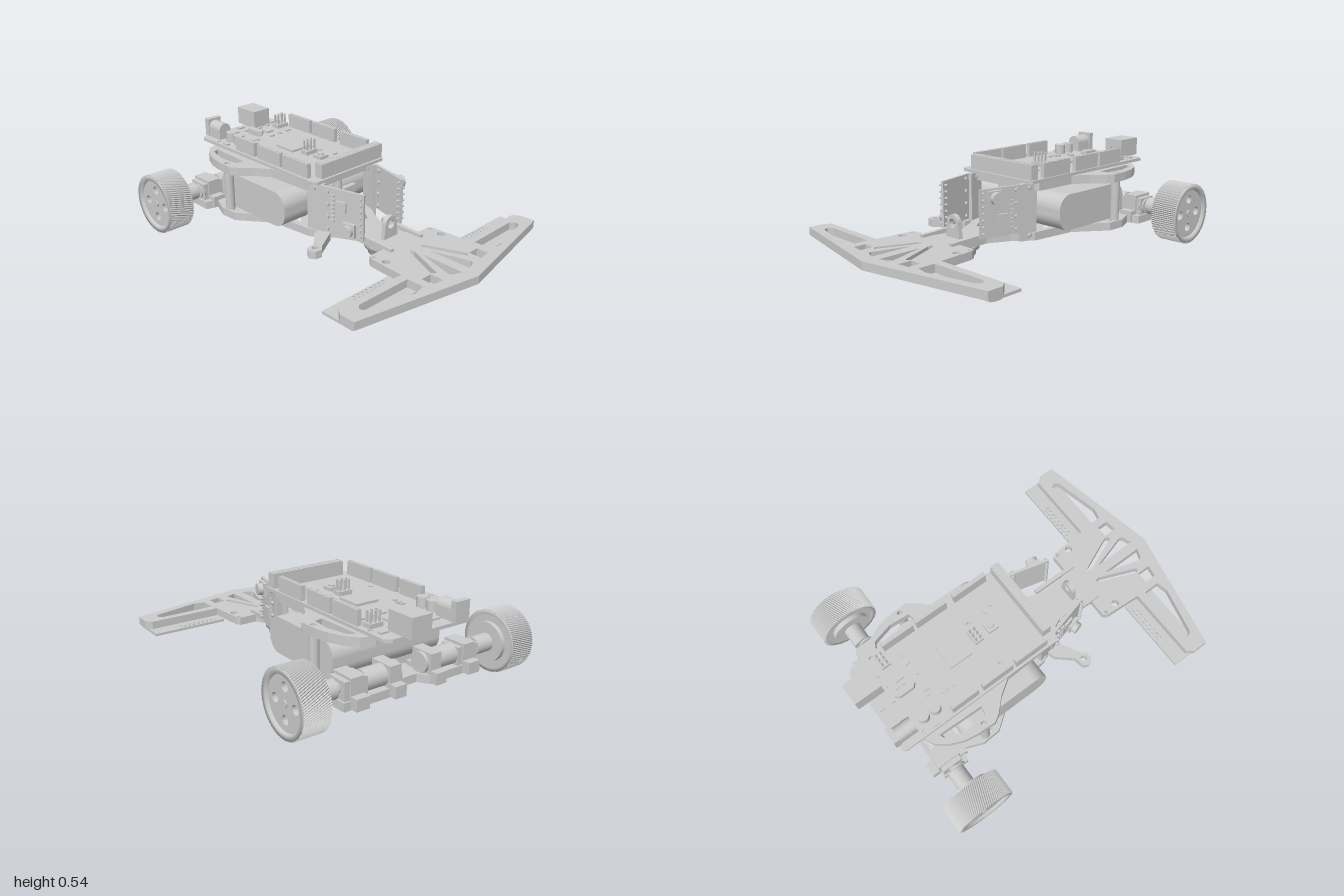
import * as THREE from 'three';

const mat = new THREE.MeshStandardMaterial({ color: 0xcccccc, side: THREE.DoubleSide });

function add(parent, name, geo, x = 0, y = 0, z = 0) {
  const m = new THREE.Mesh(geo, mat);
  m.name = name;
  m.position.set(x, y, z);
  parent.add(m);
  return m;
}
// Box from its min and max limits
const box = (p, name, x0, x1, y0, y1, z0, z1) =>
  add(p, name, new THREE.BoxGeometry(x1 - x0, y1 - y0, z1 - z0), (x0 + x1) / 2, (y0 + y1) / 2, (z0 + z1) / 2);
const post = (p, name, r, x, y0, y1, z, n = 24, r2 = r) =>
  add(p, name, new THREE.CylinderGeometry(r, r2, y1 - y0, n), x, (y0 + y1) / 2, z);
// Cylinder lying along x
function axle(p, name, r, x0, x1, y, z, n = 32) {
  const g = new THREE.CylinderGeometry(r, r, x1 - x0, n).rotateZ(Math.PI / 2);
  return add(p, name, g, (x0 + x1) / 2, y, z);
}
const flip = pts => pts.map(([x, z]) => [-x, z]).reverse();
const both = list => [...list, ...list.map(flip)];
const circle = (x, z, r) => new THREE.Path().absarc(x, -z, r, 0, Math.PI * 2, true);
// Horizontal plate from [x, z] points, with polygonal and round holes
function plate(p, name, pts, holes, rounds, y0, y1) {
  const v = a => a.map(([x, z]) => new THREE.Vector2(x, -z));
  const s = new THREE.Shape(v(pts));
  holes.forEach(h => s.holes.push(new THREE.Path(v(h))));
  rounds.forEach(([x, z, r]) => s.holes.push(circle(x, z, r)));
  const g = new THREE.ExtrudeGeometry(s, { depth: y1 - y0, bevelEnabled: false, curveSegments: 12 });
  return add(p, name, g.rotateX(-Math.PI / 2), 0, y0, 0);
}

// Chassis floor: arrow-shaped nose, neck and trussed rear
function chassis(root) {
  const half = [[0, 1], [0.74, 0.85], [0.74, 0.76], [0.71, 0.72], [0.27, 0.72], [0.255, 0.5], [0.24, 0.475], [0.13, 0.475],
    [0.1, 0.42], [0.1, 0.25], [0.16, 0.13], [0.25, 0.02], [0.28, -0.25], [0.42, -0.44], [0.425, -0.55], [0.38, -0.66],
    [0.45, -0.68], [0.45, -0.84], [0.1, -0.84], [0.06, -0.78]];
  const holes = both([
    [[0.28, 0.77], [0.62, 0.765], [0.645, 0.79], [0.63, 0.82], [0.35, 0.885], [0.28, 0.87]],
    [[0.04, 0.58], [0.06, 0.6], [0.15, 0.81], [0.14, 0.83], [0.125, 0.83], [0.035, 0.61]],
    [[0.03, 0.66], [0.095, 0.88], [0.085, 0.9], [0.03, 0.92]],
    [[0.16, 0.82], [0.23, 0.82], [0.23, 0.89], [0.16, 0.9]],
    [[0.03, 0.12], [0.08, 0.16], [0.19, 0.0], [0.03, -0.03]],
    [[0.03, -0.08], [0.2, -0.05], [0.03, -0.24]],
    [[0.22, -0.08], [0.24, -0.26], [0.07, -0.25]],
    [[0.03, -0.31], [0.2, -0.31], [0.03, -0.5]],
    [[0.25, -0.33], [0.34, -0.43], [0.34, -0.52], [0.08, -0.5]],
    [[0.06, -0.56], [0.33, -0.58], [0.3, -0.65], [0.08, -0.64]]]);
  const rounds = [];
  for (const s of [-1, 1]) rounds.push([s * 0.225, 0.58, 0.022], [s * 0.235, 0.5, 0.01], [s * 0.39, -0.48, 0.012]);
  plate(root, 'chassisFloor', [...half, ...flip(half.slice(1))], holes, rounds, 0.078, 0.125);
  // One-sided mounting arm
  plate(root, 'sideArm', [[-0.2, 0.06], [-0.27, 0.08], [-0.35, 0.17], [-0.41, 0.18], [-0.43, 0.21], [-0.41, 0.245],
    [-0.37, 0.25], [-0.34, 0.22], [-0.2, 0.14]], [], [[-0.38, 0.21, 0.018]], 0.08, 0.125);
  for (const s of [-1, 1]) {
    const rail = box(root, 'neckRail', s * 0.12 - 0.012, s * 0.12 + 0.012, 0.115, 0.145, 0.24, 0.53);
    rail.rotation.x = 0.03;
    // Line sensor strip under the nose
    const a = s > 0 ? 0.27 : -0.73, rounds2 = [];
    for (let i = 0; i < 8; i++) for (const z of [0.645, 0.67]) rounds2.push([s * (0.32 + i * 0.03 + (z > 0.65 ? 0.015 : 0)), z, 0.008]);
    plate(root, 'sensorStrip', [[a, 0.63], [a, 0.83], [a + 0.46, 0.83], [a + 0.46, 0.63]], [], rounds2, 0.064, 0.079);
    for (let i = 0; i < 6; i++) {
      const x = s * (0.31 + i * 0.075);
      box(root, 'lineSensor', x - 0.018, x + 0.018, 0.045, 0.066, 0.73, 0.78);
      box(root, 'sensorPart', x + 0.012, x + 0.028, 0.055, 0.066, 0.66, 0.7);
    }
  }
  // Upright eye tab on the neck
  const t = new THREE.Shape();
  t.moveTo(-0.055, 0).lineTo(0.055, 0).lineTo(0.045, 0.08);
  t.absarc(0, 0.085, 0.045, 0, Math.PI).lineTo(-0.055, 0);
  t.holes.push(new THREE.Path().absarc(0, 0.08, 0.026, 0, Math.PI * 2, true));
  add(root, 'eyeTab', new THREE.ExtrudeGeometry(t, { depth: 0.026, bevelEnabled: false }), 0, 0.124, 0.385);
  // Ball caster
  const profile = [[0.11, 0.08], [0.11, 0.06], [0.092, 0.058], [0.088, 0.022], [0.075, 0.017], [0.055, 0.017], [0.055, 0.05]];
  add(root, 'casterHousing', new THREE.LatheGeometry(profile.map(q => new THREE.Vector2(...q)), 32), 0, 0, 0.36);
  add(root, 'casterBall', new THREE.SphereGeometry(0.045, 24, 16), 0, 0.055, 0.36);
}

// Upper deck, posts and battery
function deck(root) {
  const half = [[0, 0.04], [0.2, 0.04], [0.26, 0], [0.27, -0.26], [0.33, -0.35], [0.4, -0.42], [0.425, -0.46], [0.42, -0.57],
    [0.405, -0.65], [0.37, -0.73], [0.32, -0.79], [0.25, -0.82], [0, -0.83]];
  plate(root, 'upperDeck', [...half, ...flip(half.slice(1, -1))],
    both([[[0.31, -0.47], [0.36, -0.48], [0.37, -0.6], [0.34, -0.72], [0.3, -0.74]]]),
    [[0.395, -0.515, 0.016], [-0.395, -0.515, 0.016]], 0.36, 0.41);
  for (const s of [-1, 1]) {
    post(root, 'deckPost', 0.027, s * 0.39, 0.12, 0.365, -0.515);
    post(root, 'boardSpacer', 0.02, s * 0.24, 0.405, 0.425, -0.78);
  }
  post(root, 'frontPost', 0.026, -0.015, 0.12, 0.365, 0.01);
  // Pack with rounded section, lying across the car
  const s = new THREE.Shape(), r = 0.085, w = 0.285, h = 0.104;
  s.absarc(w - r, h - r, r, 0, Math.PI / 2).absarc(-w + r, h - r, r, Math.PI / 2, Math.PI);
  s.absarc(-w + r, -h + r, r, Math.PI, Math.PI * 1.5).absarc(w - r, -h + r, r, Math.PI * 1.5, Math.PI * 2);
  const g = new THREE.ExtrudeGeometry(s, { depth: 0.72, bevelEnabled: false }).translate(0, 0, -0.36).rotateY(Math.PI / 2);
  add(root, 'battery', g, 0, 0.23, -0.345);
  box(root, 'batteryPlug', 0.08, 0.18, 0.21, 0.255, -0.07, -0.03);
}

// Wheel, hub, motor and clamps; built on +x
function drive() {
  const g = new THREE.Group(), Y = 0.178, Z = -0.77;
  const tread = new THREE.CylinderGeometry(0.176, 0.176, 0.155, 180, 8, true);
  const p = tread.attributes.position, cols = 181;
  for (let i = 0; i < p.count; i++) {
    const a = (i % cols) / 180 * Math.PI * 2 + p.getY(i) * 2.2;
    const rad = (i % cols) % 2 ? 0.177 : 0.170;
    p.setXYZ(i, Math.cos(a) * rad, p.getY(i), Math.sin(a) * rad);
  }
  // Swapping the angle sense needs the faces turned as well
  tread.index.array.reverse();
  tread.rotateZ(Math.PI / 2);
  const t2 = tread.toNonIndexed();
  t2.computeVertexNormals();
  add(g, 'tread', t2, 0.672, Y, Z);
  const rim = [[0.15, 0.6], [0.172, 0.595], [0.172, 0.749], [0.145, 0.749], [0.14, 0.73], [0.135, 0.73]];
  const rg = new THREE.LatheGeometry(rim.map(([a, b]) => new THREE.Vector2(a, -b)), 64).rotateZ(Math.PI / 2);
  add(g, 'rim', rg, 0, Y, Z);
  const d = new THREE.Shape().absarc(0, 0, 0.15, 0, Math.PI * 2);
  for (let i = 0; i < 4; i++) {
    const a = i * Math.PI / 2;
    d.holes.push(new THREE.Path().absarc(Math.cos(a) * 0.083, Math.sin(a) * 0.083, 0.025, 0, Math.PI * 2, true));
  }
  const dg = new THREE.ExtrudeGeometry(d, { depth: 0.13, bevelEnabled: false, curveSegments: 32 }).rotateY(Math.PI / 2);
  add(g, 'wheelDisc', dg, 0.602, Y, Z);
  axle(g, 'hubFlange', 0.112, 0.575, 0.603, Y, Z);
  axle(g, 'hub', 0.051, 0.465, 0.58, Y, Z);
  axle(g, 'axleEnd', 0.02, 0.4, 0.74, Y, Z, 16);
  box(g, 'gearbox', 0.3, 0.44, 0.125, 0.225, -0.83, -0.71);
  axle(g, 'motorCan', 0.058, 0.08, 0.3, Y, Z);
  for (const [x0, x1] of [[0.1, 0.17], [0.33, 0.41]]) {
    box(g, 'motorClamp', x0, x1, 0.1, 0.24, -0.84, -0.7);
    for (const z of [-0.86, -0.68]) box(g, 'clampFoot', x0, x1, 0.085, 0.15, z - 0.025, z + 0.025);
  }
  for (let i = 0; i < 4; i++) axle(g, 'gear', 0.03 + (i % 2) * 0.015, 0.415 + i * 0.012, 0.424 + i * 0.012, Y, Z + 0.02 * (i % 2), 20);
  return g;
}

// Controller board with headers, ports and small components
function controller() {
  const g = new THREE.Group(), T = 0.431;
  g.name = 'controller';
  plate(g, 'board', [[-0.27, 0.08], [-0.25, 0.095], [0.27, 0.095], [0.285, 0.08], [0.285, -0.91], [0.25, -0.94], [-0.25, -0.94], [-0.27, -0.92]],
    [], [[-0.245, -0.79, 0.014], [0.26, -0.79, 0.014], [-0.19, -0.25, 0.014], [0.1, -0.25, 0.014]], 0.413, T);
  function header(x0, x1, z0, z1) {
    box(g, 'header', x0, x1, T, 0.515, z0, z1);
    const nx = Math.max(1, Math.round((x1 - x0) / 0.027)), nz = Math.max(1, Math.round((z1 - z0) / 0.027));
    for (let i = 0; i < nx; i++) for (let j = 0; j < nz; j++)
      add(g, 'socket', new THREE.BoxGeometry(0.012, 0.002, 0.012), x0 + (i + 0.5) * (x1 - x0) / nx, 0.516, z0 + (j + 0.5) * (z1 - z0) / nz);
  }
  [[-0.61, -0.44], [-0.41, -0.21], [-0.19, 0.02]].forEach(([a, b]) => header(-0.256, -0.23, a, b));
  [[-0.71, -0.51], [-0.49, -0.29], [-0.24, -0.02]].forEach(([a, b]) => header(0.25, 0.276, a, b));
  header(-0.205, 0.275, 0.028, 0.082);
  box(g, 'dataPort', 0.065, 0.19, T, 0.54, -1, -0.835);
  box(g, 'powerJackFront', -0.228, -0.135, T, 0.54, -0.955, -0.92);
  box(g, 'powerJackBase', -0.223, -0.14, T, 0.485, -0.92, -0.815);
  add(g, 'powerJackBarrel', new THREE.CylinderGeometry(0.041, 0.041, 0.105, 24).rotateX(Math.PI / 2), -0.1815, 0.487, -0.8675);
  for (const z of [-0.75, -0.675]) post(g, 'capacitor', 0.033, -0.18, T, 0.49, z);
  box(g, 'processor', -0.05, 0.095, T, 0.445, -0.48, -0.335);
  box(g, 'usbChip', 0.065, 0.115, T, 0.443, -0.76, -0.705);
  box(g, 'resetBase', -0.015, 0.05, T, 0.45, -0.195, -0.13);
  post(g, 'resetButton', 0.018, 0.0175, 0.45, 0.46, -0.1625);
  plate(g, 'crystal', [[-0.02, -0.79], [0, -0.81], [0.02, -0.79], [0.02, -0.7], [0, -0.68], [-0.02, -0.7]], [], [], T, 0.465);
  // Pin blocks
  for (const [cx, cz] of [[0.02, -0.265], [0.21, -0.75]]) {
    box(g, 'pinBase', cx - 0.042, cx + 0.042, T, 0.455, cz - 0.028, cz + 0.028);
    for (let i = -1; i < 2; i++) for (const k of [-1, 1])
      box(g, 'pin', cx + i * 0.028 - 0.005, cx + i * 0.028 + 0.005, 0.45, 0.515, cz + k * 0.014 - 0.005, cz + k * 0.014 + 0.005);
  }
  // Small surface parts: [x, z, width, depth]
  [[-0.09, -0.85, 0.07, 0.03], [0.005, -0.9, 0.045, 0.03], [0.005, -0.83, 0.045, 0.025], [-0.245, -0.72, 0.025, 0.04], [0.23, -0.85, 0.05, 0.025],
    [-0.12, -0.59, 0.03, 0.015], [-0.12, -0.56, 0.03, 0.015], [-0.13, -0.52, 0.02, 0.02], [-0.09, -0.66, 0.015, 0.03], [-0.06, -0.65, 0.015, 0.03],
    [0.05, -0.64, 0.03, 0.015], [0.12, -0.65, 0.015, 0.03], [0.19, -0.65, 0.04, 0.015], [0.04, -0.77, 0.015, 0.02], [0.04, -0.73, 0.015, 0.02],
    [0.09, -0.81, 0.03, 0.015], [0.16, -0.82, 0.02, 0.02], [0.11, -0.14, 0.03, 0.015], [0.12, -0.09, 0.015, 0.02]
  ].forEach(([x, z, w, d]) => box(g, 'smallPart', x - w / 2, x + w / 2, T, 0.441, z - d / 2, z + d / 2));
  return g;
}

// Upright distance-sensing board, parts on its +x face
function sideBoard() {
  const g = new THREE.Group();
  box(g, 'sideBoardPlate', -0.008, 0.008, -0.135, 0.135, -0.135, 0.135);
  axle(g, 'trimmer', 0.035, 0.008, 0.06, 0.085, 0.05, 20);
  box(g, 'trimmerBase', 0.008, 0.03, 0.045, 0.125, 0.01, 0.09);
  box(g, 'sideChip', 0.008, 0.022, -0.07, -0.01, -0.03, 0.03);
  for (let i = 0; i < 7; i++) {
    axle(g, 'solderPin', 0.008, -0.025, 0.025, -0.11 + i * 0.037, 0.118, 8);
    if (i % 2 < 1) axle(g, 'solderPin', 0.012, -0.02, 0.022, -0.11 + i * 0.037, -0.09, 8);
    box(g, 'sidePart', 0.008, 0.018, -0.1 + i * 0.025, -0.088 + i * 0.025, -0.07, -0.045);
  }
  return g;
}

export function createModel() {
  const root = new THREE.Group();
  root.name = 'robotCar';
  chassis(root);
  deck(root);
  root.add(controller());
  for (const s of [1, -1]) {
    const d = drive();
    d.name = s > 0 ? 'leftDrive' : 'rightDrive';
    d.scale.x = s;
    root.add(d);
    // The second side board is the first one turned upside down
    const holder = new THREE.Group(), b = sideBoard();
    holder.name = 'sideBoard';
    b.rotation.y = -0.25;
    b.position.set(0.185, 0, 0);
    holder.add(b);
    holder.position.set(0, 0.27, 0.22);
    if (s < 0) holder.rotation.z = Math.PI;
    root.add(holder);
    const bracket = box(root, 'boardBracket', s * 0.215 - 0.014, s * 0.215 + 0.014, 0.08, 0.405, -0.005, 0.1);
    bracket.rotation.y = -0.25 * s;
    for (const y of [0.11, 0.38]) axle(root, 'bracketScrew', 0.012, s * 0.215 - 0.025, s * 0.215 + 0.025, y, 0.045, 12);
  }
  return root;
}
